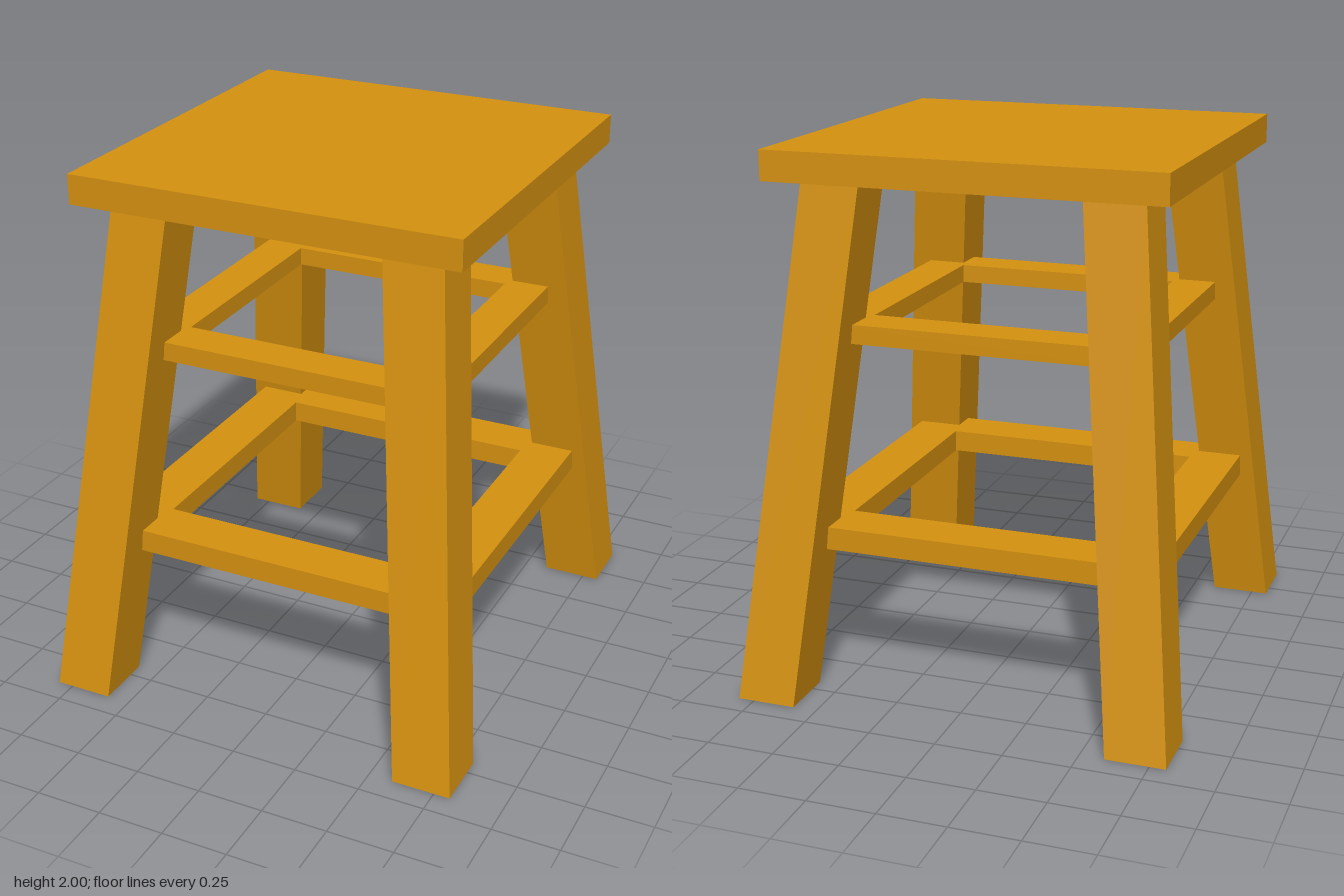
import * as THREE from 'three';

const SEAT_BOTTOM = 1.89;

// Remove the faces lying on the lowest plane, leaving a hollow, open-bottomed part
function openBottom(source) {
  const geo = source.index ? source.toNonIndexed() : source;
  const p = geo.attributes.position;
  geo.computeBoundingBox();
  const low = geo.boundingBox.min.y + 1e-4;
  const kept = [];
  for (let i = 0; i < p.count; i += 3) {
    if ([0, 1, 2].every((k) => p.getY(i + k) < low)) continue;
    for (let k = 0; k < 3; k++) kept.push(p.getX(i + k), p.getY(i + k), p.getZ(i + k));
  }
  const out = new THREE.BufferGeometry();
  out.setAttribute('position', new THREE.Float32BufferAttribute(kept, 3));
  out.computeVertexNormals();
  return out;
}

// Square leg sheared outwards towards the floor
function legGeometry(sx, sz) {
  const geo = new THREE.BoxGeometry(0.22, SEAT_BOTTOM, 0.22);
  geo.translate(0, SEAT_BOTTOM / 2, 0);
  const p = geo.attributes.position;
  for (let i = 0; i < p.count; i++) {
    const drop = 1 - p.getY(i) / SEAT_BOTTOM;
    p.setX(i, p.getX(i) + sx * (0.515 + 0.185 * drop));
    p.setZ(i, p.getZ(i) + sz * (0.515 + 0.285 * drop));
  }
  return openBottom(geo);
}

// Square ring of rails joining the four legs
function railGeometry(outer, inner, y0, y1) {
  const square = (r) => [[-r, -r], [r, -r], [r, r], [-r, r]].map(([x, y]) => new THREE.Vector2(x, y));
  const shape = new THREE.Shape(square(outer));
  shape.holes.push(new THREE.Path(square(inner).reverse()));
  const geo = new THREE.ExtrudeGeometry(shape, { depth: y1 - y0, bevelEnabled: false });
  geo.rotateX(-Math.PI / 2);
  geo.translate(0, y0, 0);
  return openBottom(geo);
}

export function createModel() {
  const model = new THREE.Group();
  model.name = 'stool';
  const wood = new THREE.MeshStandardMaterial({ color: 0xd6920f, side: THREE.DoubleSide });
  wood.name = 'honey wood';

  const add = (name, geometry) => {
    const mesh = new THREE.Mesh(geometry, wood);
    mesh.name = name;
    model.add(mesh);
    return mesh;
  };

  // Seat slab
  add('seat', new THREE.BoxGeometry(1.46, 0.11, 1.46)).position.y = SEAT_BOTTOM + 0.055;

  // Four splayed legs
  for (const [sx, side] of [[1, 'Left'], [-1, 'Right']]) {
    for (const [sz, end] of [[1, 'front'], [-1, 'back']]) {
      add(`${end}${side}Leg`, legGeometry(sx, sz));
    }
  }

  // Two rings of rails
  add('lowerRails', railGeometry(0.70, 0.51, 0.545, 0.63));
  add('upperRails', railGeometry(0.60, 0.44, 1.30, 1.37));

  return model;
}
